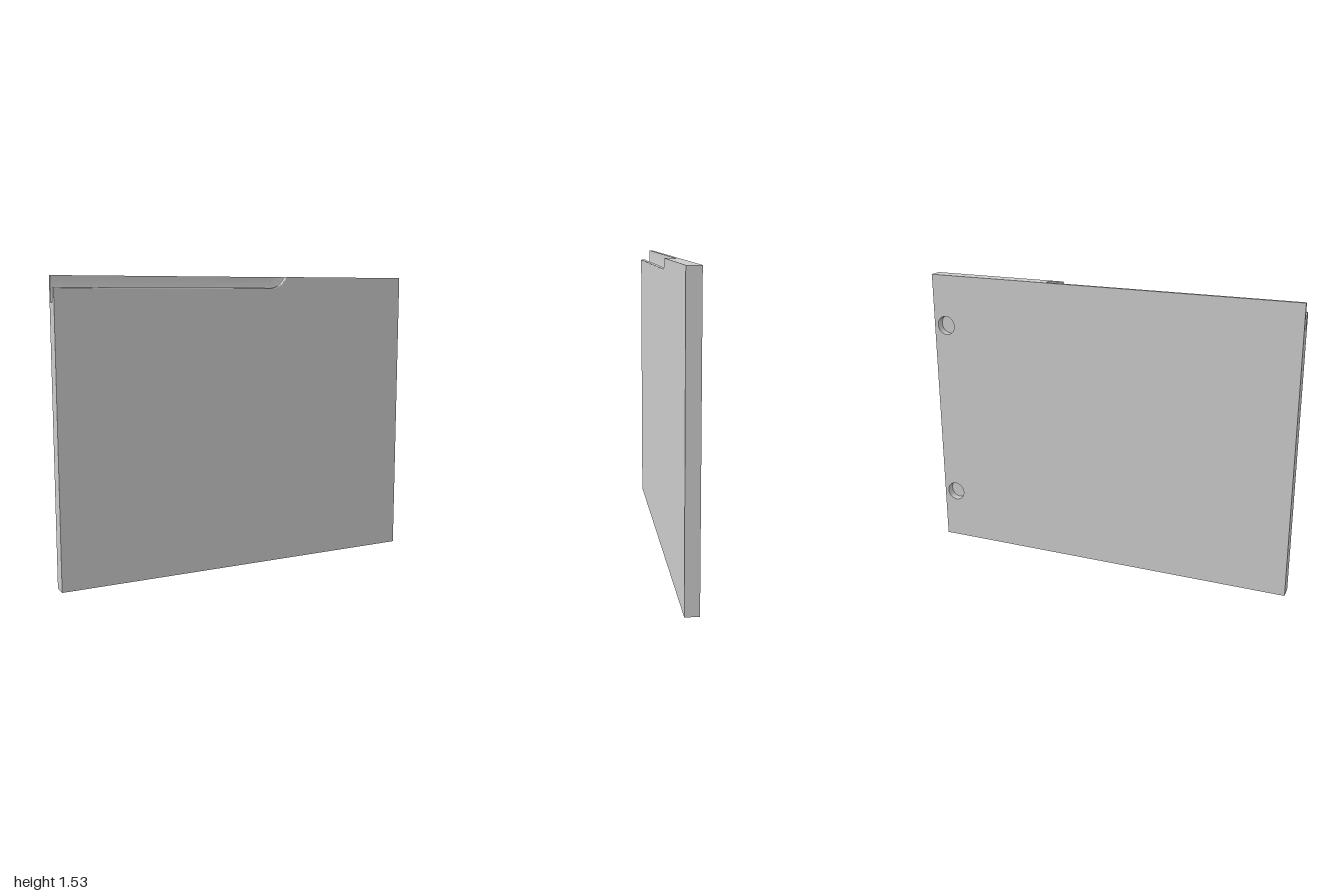
import * as THREE from 'three';
import { toCreasedNormals } from 'three/addons/utils/BufferGeometryUtils.js';

const H = 1.53, Z = 0.035;           // panel height and half thickness
const CX = 0.17, RISE = 0.0375;      // centre of the curved run-out of the grip
const HOLE = { x: 0.93, r: 0.05, depth: 0.042, ys: [0.275, 1.255] };

// Panel outline, counter-clockwise, with the top left cut down by d
function outline(d) {
  const r = RISE + d, end = Math.acos(Math.min(1, RISE / r)), n = 14;
  const pts = [[-1, 0], [1, 0], [1, H]];
  for (let i = 0; i <= n; i++) {
    const a = end * (1 - i / n);
    pts.push([CX + r * Math.sin(a), H + RISE - r * Math.cos(a)]);
  }
  pts.push([-1, H - d]);
  return pts.map(([x, y]) => new THREE.Vector2(x, y));
}

// Grip cross-section from back to front: [z, depth of cut]
function gripProfile() {
  const lip = 0.06, deep = 0.127, zBack = -0.018, zLip = 0.008, f = 0.004, e = 0.005;
  const p = [[-Z, 0], [zBack, 0]];
  const arc = (cz, cd, r, a0, a1) => {
    for (let i = 0; i <= 4; i++) {
      const a = a0 + (a1 - a0) * i / 4;
      p.push([cz + r * Math.cos(a), cd + r * Math.sin(a)]);
    }
  };
  arc(zBack + f, deep - f, f, Math.PI, Math.PI / 2);
  arc(zLip - f, deep - f, f, Math.PI / 2, 0);
  arc(zLip + e, lip + e - 0.004, e, Math.PI, Math.PI * 1.5);
  arc(Z - e, lip + e - 0.004, e, Math.PI * 1.5, Math.PI * 2);
  return p;
}

// Edge surfaces lofted through the outlines
function loftGeometry(profile) {
  const rows = profile.map(([z, d]) => outline(d).map(p => [p.x, p.y, z]));
  const pos = [];
  for (let i = 0; i < rows.length - 1; i++) {
    const n = rows[i].length;
    for (let j = 0; j < n; j++) {
      const k = (j + 1) % n;
      const a = rows[i][j], b = rows[i][k], c = rows[i + 1][k], d = rows[i + 1][j];
      pos.push(...a, ...b, ...c, ...a, ...c, ...d);
    }
  }
  const g = new THREE.BufferGeometry();
  g.setAttribute('position', new THREE.Float32BufferAttribute(pos, 3));
  return toCreasedNormals(g, 0.6);
}

export function createModel() {
  const model = new THREE.Group();
  model.name = 'cabinetDoor';
  const mat = new THREE.MeshStandardMaterial({ color: 0xcccccc });
  const inner = new THREE.MeshStandardMaterial({ color: 0xcccccc, side: THREE.DoubleSide });
  const add = (name, geometry, material = mat) => {
    const m = new THREE.Mesh(geometry, material);
    m.name = name;
    model.add(m);
    return m;
  };

  // Edges with the grip groove
  const profile = gripProfile();
  add('edgesAndGrip', loftGeometry(profile));

  // Front face
  const frontDepth = profile[profile.length - 1][1];
  add('frontFace', new THREE.ShapeGeometry(new THREE.Shape(outline(frontDepth)))).position.z = Z;

  // Back face, mirrored in x so that it can be turned to face -z
  const back = new THREE.Shape([[-1, 0], [1, 0], [1, H], [-1, H]].map(p => new THREE.Vector2(...p)));
  for (const y of HOLE.ys) {
    back.holes.push(new THREE.Path().absarc(-HOLE.x, y, HOLE.r, 0, Math.PI * 2, true));
  }
  const backFace = add('backFace', new THREE.ShapeGeometry(back, 24));
  backFace.rotation.y = Math.PI;
  backFace.position.z = -Z;

  // Blind hinge holes
  HOLE.ys.forEach((y) => {
    const wall = add('hingeHoleWall',
      new THREE.CylinderGeometry(HOLE.r, HOLE.r, HOLE.depth, 48, 1, true), inner);
    wall.rotation.x = Math.PI / 2;
    wall.position.set(HOLE.x, y, -Z + HOLE.depth / 2);
    const floor = add('hingeHoleFloor', new THREE.CircleGeometry(HOLE.r, 48));
    floor.rotation.y = Math.PI;
    floor.position.set(HOLE.x, y, -Z + HOLE.depth);
  });
  return model;
}
